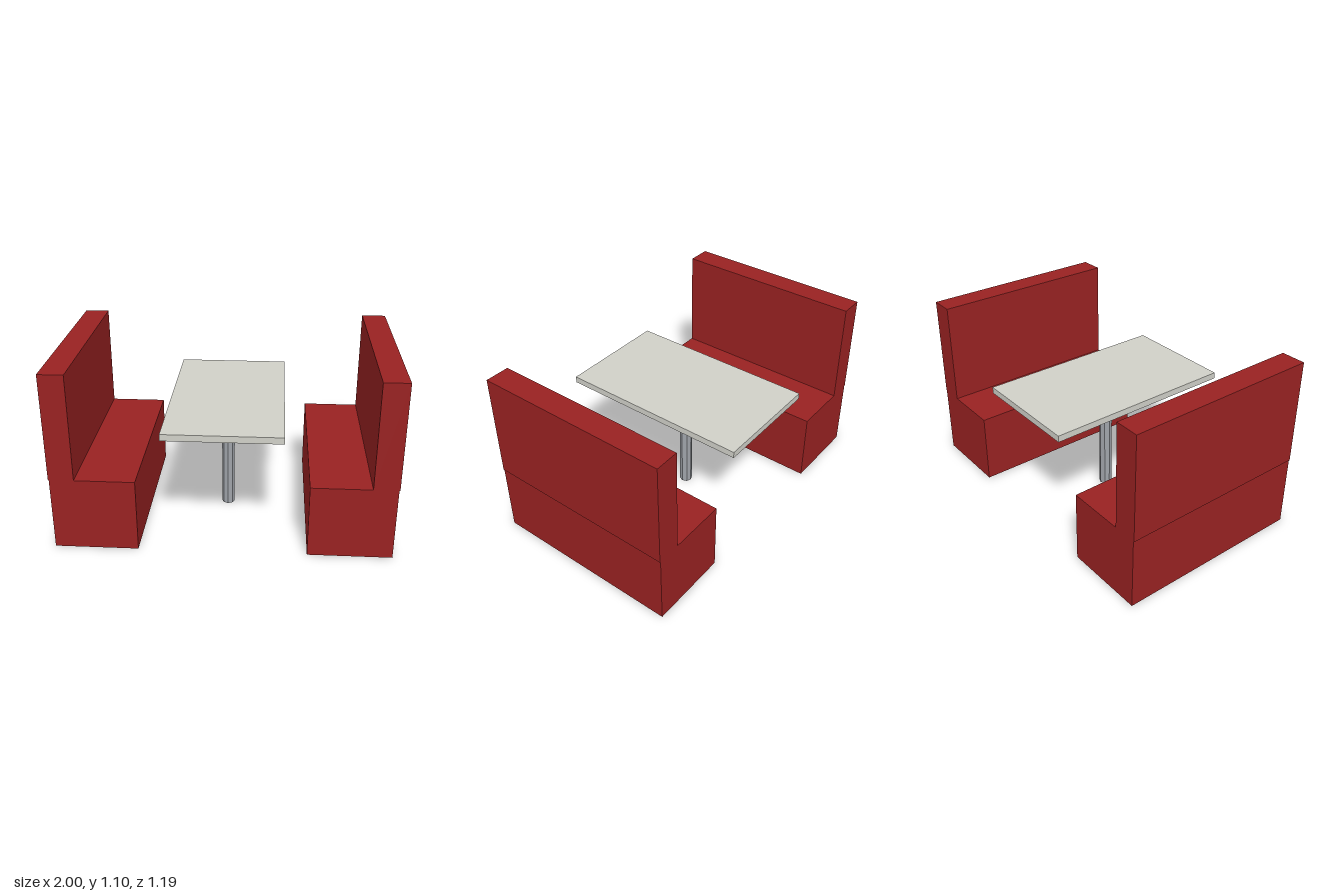
import * as THREE from 'three';

export function createModel() {
  const model = new THREE.Group();
  model.name = 'diningBooth';

  const upholstery = new THREE.MeshStandardMaterial({ color: 0x992222 });
  upholstery.name = 'red upholstery';
  const laminate = new THREE.MeshStandardMaterial({ color: 0xd0d0c8 });
  laminate.name = 'pale laminate';
  const steel = new THREE.MeshStandardMaterial({ color: 0xa0a4aa, flatShading: true });
  steel.name = 'grey steel';

  const depth = 1.194;

  // Box given by its x and y extents, running the full depth
  function slab(name, x0, x1, y0, y1, material, parent) {
    const mesh = new THREE.Mesh(new THREE.BoxGeometry(x1 - x0, y1 - y0, depth), material);
    mesh.position.set((x0 + x1) / 2, (y0 + y1) / 2, 0);
    mesh.name = name;
    parent.add(mesh);
  }

  // Two facing benches; the backrest overhangs the seat block slightly
  for (const [name, turn] of [['leftBench', 0], ['rightBench', Math.PI]]) {
    const bench = new THREE.Group();
    bench.name = name;
    slab('seat', 0.498, 0.995, 0, 0.448, upholstery, bench);
    slab('backrest', 0.851, 1, 0.448, 1.095, upholstery, bench);
    bench.rotation.y = turn;
    model.add(bench);
  }

  // Table: thin top on a single eight-sided post
  const table = new THREE.Group();
  table.name = 'table';
  slab('tableTop', -0.347, 0.347, 0.717, 0.757, laminate, table);
  const post = new THREE.Mesh(new THREE.CylinderGeometry(0.04, 0.04, 0.717, 8), steel);
  post.position.y = 0.717 / 2;
  post.name = 'tablePost';
  table.add(post);
  model.add(table);

  return model;
}
